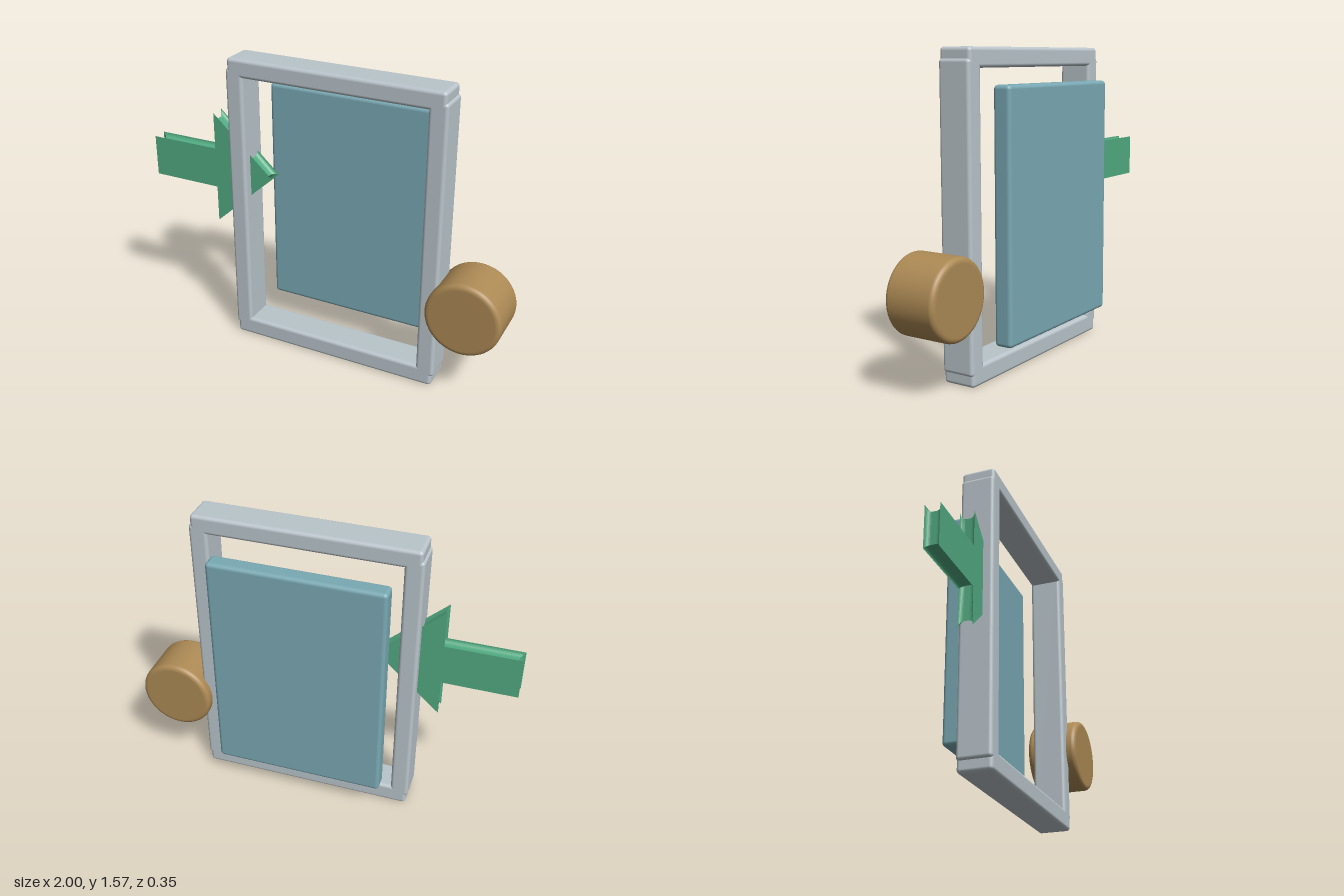
import * as THREE from 'three';
import { RoundedBoxGeometry } from 'three/addons/geometries/RoundedBoxGeometry.js';

export function createModel() {
  const model = new THREE.Group();
  const material = (name, color) => {
    const m = new THREE.MeshStandardMaterial({ color });
    m.name = name;
    return m;
  };
  const grey = material('frameGrey', 0xbac5cb);
  const teal = material('panelTeal', 0x7aa9b4);
  const green = material('arrowGreen', 0x52ab82);
  const brown = material('knobBrown', 0xad8a55);

  const add = (name, geometry, mat, x, y, z) => {
    const mesh = new THREE.Mesh(geometry, mat);
    mesh.name = name;
    mesh.position.set(x, y, z);
    model.add(mesh);
    return mesh;
  };
  // Rounded box given by its extents
  const block = (name, mat, [x0, x1], [y0, y1], [z0, z1], r) =>
    add(name, new RoundedBoxGeometry(x1 - x0, y1 - y0, z1 - z0, 4, r), mat,
      (x0 + x1) / 2, (y0 + y1) / 2, (z0 + z1) / 2);

  // Frame: rails slightly shorter than the overall width, posts stepped outwards
  const depth = [-0.048, 0.125];
  block('topRail', grey, [-0.495, 0.645], [1.475, 1.57], depth, 0.018);
  block('bottomRail', grey, [-0.495, 0.645], [0, 0.1], depth, 0.018);
  block('rightPost', grey, [-0.505, -0.41], [0.055, 1.518], depth, 0.018);
  block('leftPost', grey, [0.56, 0.655], [0.055, 1.518], depth, 0.018);

  // Panel floating behind the frame
  block('panel', teal, [-0.373, 0.525], [0.18, 1.4], [-0.176, -0.082], 0.02);

  // Knob: short cylinder with rounded rims, axis along z
  const R = 0.195, h = 0.136, b = 0.025;
  const profile = [new THREE.Vector2(0, -h), new THREE.Vector2(R - b - 0.003, -h)];
  for (const side of [-1, 1]) {
    for (let i = 0; i <= 5; i++) {
      const a = (side < 0 ? i - 5 : i) * Math.PI / 10;
      profile.push(new THREE.Vector2(R - b + b * Math.cos(a), side * (h - b) + b * Math.sin(a)));
    }
  }
  profile.push(new THREE.Vector2(R - b - 0.003, h), new THREE.Vector2(0, h));
  add('knob', new THREE.LatheGeometry(profile, 64), brown, 0.8, 0.465, 0.04).rotation.x = Math.PI / 2;

  // Arrow: full outline on both faces, with the edge pinched inwards between them
  const outline = [[-1, 0.835], [-0.62, 0.835], [-0.62, 0.64], [-0.285, 0.944],
    [-0.62, 1.248], [-0.62, 1.053], [-1, 1.053]];
  const shape = new THREE.Shape(outline.map(([x, y]) => new THREE.Vector2(x, y)));
  const bevel = 0.025;
  const arrow = new THREE.ExtrudeGeometry(shape, {
    depth: 0.074 - 2 * bevel, bevelEnabled: true, bevelThickness: bevel,
    bevelSize: -bevel, bevelSegments: 6,
  });
  add('arrow', arrow, green, 0, 0, bevel);

  return model;
}
